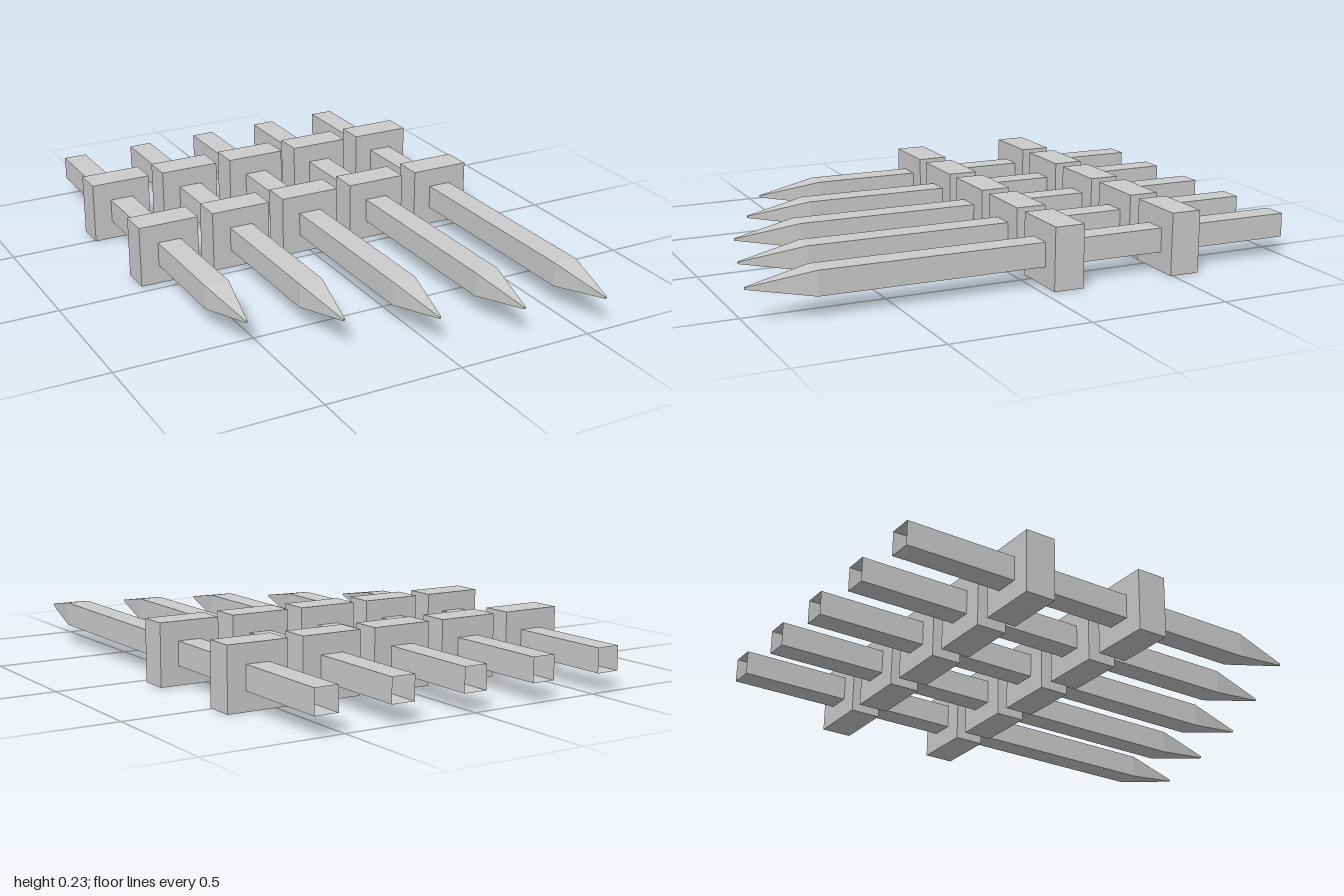
import * as THREE from 'three';

const BACK = -1, TIP_LENGTH = 0.228, BAR_RADIUS = 0.0435 * Math.SQRT2, BLOCK = 0.225;
const SPACING = 0.283;
const TIPS = [0.59, 0.728, 0.862, 0.935, 1.0]; // z of each spike's point

const solid = new THREE.MeshStandardMaterial({ color: 0xcccccc, flatShading: true });
const open = new THREE.MeshStandardMaterial({ color: 0xcccccc, flatShading: true, side: THREE.DoubleSide });

// Square hollow bar, open at the back, tapering to a tiny blunt point in front
function makeSpike(tip) {
  const profile = [[BAR_RADIUS, BACK], [BAR_RADIUS, tip - TIP_LENGTH], [0.005, tip], [0, tip]]
    .map(([r, z]) => new THREE.Vector2(r, z));
  const geometry = new THREE.LatheGeometry(profile, 4, Math.PI / 4);
  geometry.rotateX(Math.PI / 2);
  const spike = new THREE.Mesh(geometry, open);
  spike.name = 'spike';
  return spike;
}

// Square block threaded on the bar
function makeBlock(z) {
  const block = new THREE.Mesh(new THREE.BoxGeometry(BLOCK, BLOCK, 0.11), solid);
  block.name = 'collarBlock';
  block.position.z = z;
  return block;
}

export function createModel() {
  const model = new THREE.Group();
  model.name = 'spikeRow';
  TIPS.forEach((tip, i) => {
    const unit = new THREE.Group();
    unit.name = 'spikeUnit';
    unit.add(makeSpike(tip), makeBlock(-0.547), makeBlock(-0.092));
    unit.position.set((i - 2) * SPACING, 0.117, 0);
    unit.rotation.x = -0.004; // points rise very slightly
    model.add(unit);
  });
  return model;
}
